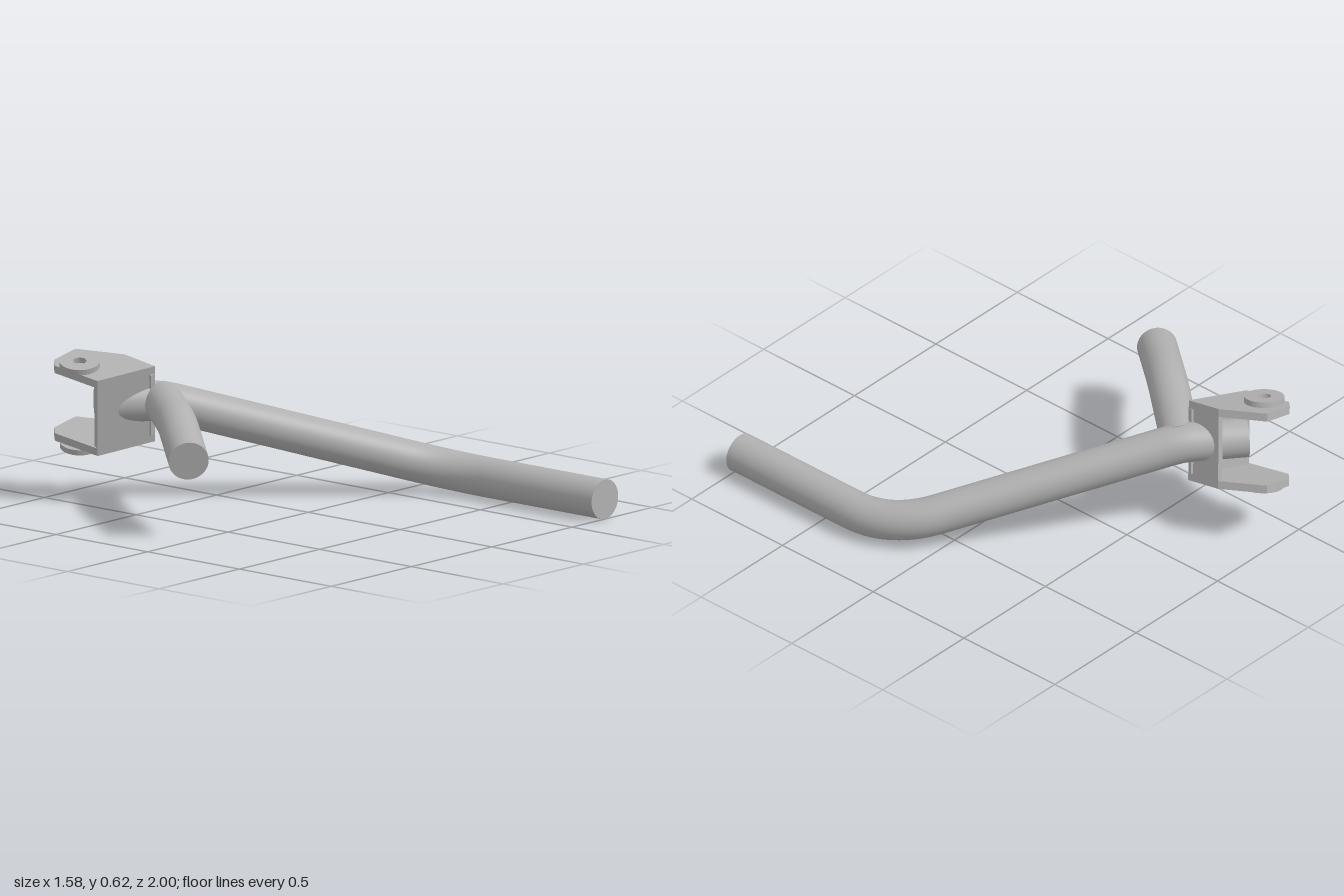
import * as THREE from 'three';

const steel = new THREE.MeshStandardMaterial({ color: 0xb0b0b0 });
steel.name = 'grey steel';

const V = (x, y, z) => new THREE.Vector3(x, y, z);
const RADIUS = 0.083;

// Bent round bar: straight runs joined by smooth bends, with flat end caps
function bentBar(name, points, bends, segments) {
  const path = new THREE.CurvePath();
  let from = points[0];
  for (let i = 1; i < points.length - 1; i++) {
    const corner = points[i];
    const towards = (p) => p.clone().sub(corner).setLength(bends[i - 1]).add(corner);
    const a = towards(points[i - 1]);
    const b = towards(points[i + 1]);
    path.add(new THREE.LineCurve3(from, a));
    path.add(new THREE.QuadraticBezierCurve3(a, corner, b));
    from = b;
  }
  path.add(new THREE.LineCurve3(from, points[points.length - 1]));

  const group = new THREE.Group();
  group.name = name;
  const bar = new THREE.Mesh(new THREE.TubeGeometry(path, segments, RADIUS, 40), steel);
  bar.name = name + 'Bar';
  group.add(bar);
  for (const end of [0, 1]) {
    const cap = new THREE.Mesh(new THREE.CircleGeometry(RADIUS, 40), steel);
    cap.name = name + 'EndCap';
    const p = path.getPoint(end);
    const outward = path.getTangent(end).multiplyScalar(end ? 1 : -1);
    cap.position.copy(p);
    cap.lookAt(p.clone().add(outward));
    group.add(cap);
  }
  return group;
}

// Tilted two-plate bracket wrapped around the end of the long bar
function makeBracket() {
  const up = V(-0.2, 0.965, 0.17).normalize();
  const ex = V(1, -up.x / up.y, 0).normalize();
  const ey = up.clone().cross(ex);
  const height = 0.347, plate = 0.034, wall = 0.025;

  const bracket = new THREE.Group();
  bracket.name = 'bracket';
  bracket.position.set(-0.275, 0.575, -0.595);
  bracket.quaternion.setFromRotationMatrix(new THREE.Matrix4().makeBasis(ex, ey, up));

  // Plan offset (x, z) from the front corner, laid into the tilted plane
  const plan = (dx, dz) => {
    const v = V(dx, -(up.x * dx + up.z * dz) / up.y, dz);
    return new THREE.Vector2(v.dot(ex), v.dot(ey));
  };
  const addPrism = (name, shape, z, depth) => {
    const geometry = new THREE.ExtrudeGeometry(shape, { depth, bevelEnabled: false, curveSegments: 32 });
    const mesh = new THREE.Mesh(geometry, steel);
    mesh.name = name;
    mesh.position.z = z;
    bracket.add(mesh);
  };

  // Upper and lower lug plates
  const B = plan(0, 0), A = plan(-0.25, -0.095), E = plan(-0.005, -0.16);
  const lug = new THREE.Shape([B, E, plan(-0.1, -0.345), plan(-0.23, -0.35), plan(-0.265, -0.315), A]);
  addPrism('upperLug', lug, -plate, plate);
  addPrism('lowerLug', lug, -height, plate);

  // Two side walls meeting at the front corner
  for (const [name, tip, other] of [['frontWall', A, E], ['sideWall', E, A]]) {
    const along = tip.clone().sub(B).normalize();
    const inward = new THREE.Vector2(-along.y, along.x);
    if (inward.dot(other.clone().sub(B)) < 0) inward.negate();
    inward.multiplyScalar(wall);
    const shape = new THREE.Shape([B, tip, tip.clone().add(inward), B.clone().add(inward)]);
    addPrism(name, shape, -height + plate, height - 2 * plate);
  }

  // Bored bosses on the outside of each lug
  const pin = plan(-0.2, -0.235);
  const ring = new THREE.Shape().absarc(pin.x, pin.y, 0.083, 0, Math.PI * 2);
  ring.holes.push(new THREE.Path().absarc(pin.x, pin.y, 0.028, 0, Math.PI * 2, true));
  addPrism('upperBoss', ring, 0, 0.024);
  addPrism('lowerBoss', ring, -height - 0.024, 0.024);
  return bracket;
}

export function createModel() {
  const model = new THREE.Group();
  model.name = 'bentBarWithBracket';
  const joint = V(-0.2, 0.415, -0.62);

  model.add(bentBar('longArm',
    [V(0.705, 0.085, 1), V(0.705, 0.085, 0.175), joint, V(-0.41, 0.415, -0.795)],
    [0.21, 0.05], 160));
  model.add(bentBar('shortArm',
    [V(-0.733, 0.337, -0.01), V(-0.49, 0.415, -0.285), joint],
    [0.09], 60));
  model.add(makeBracket());
  return model;
}
